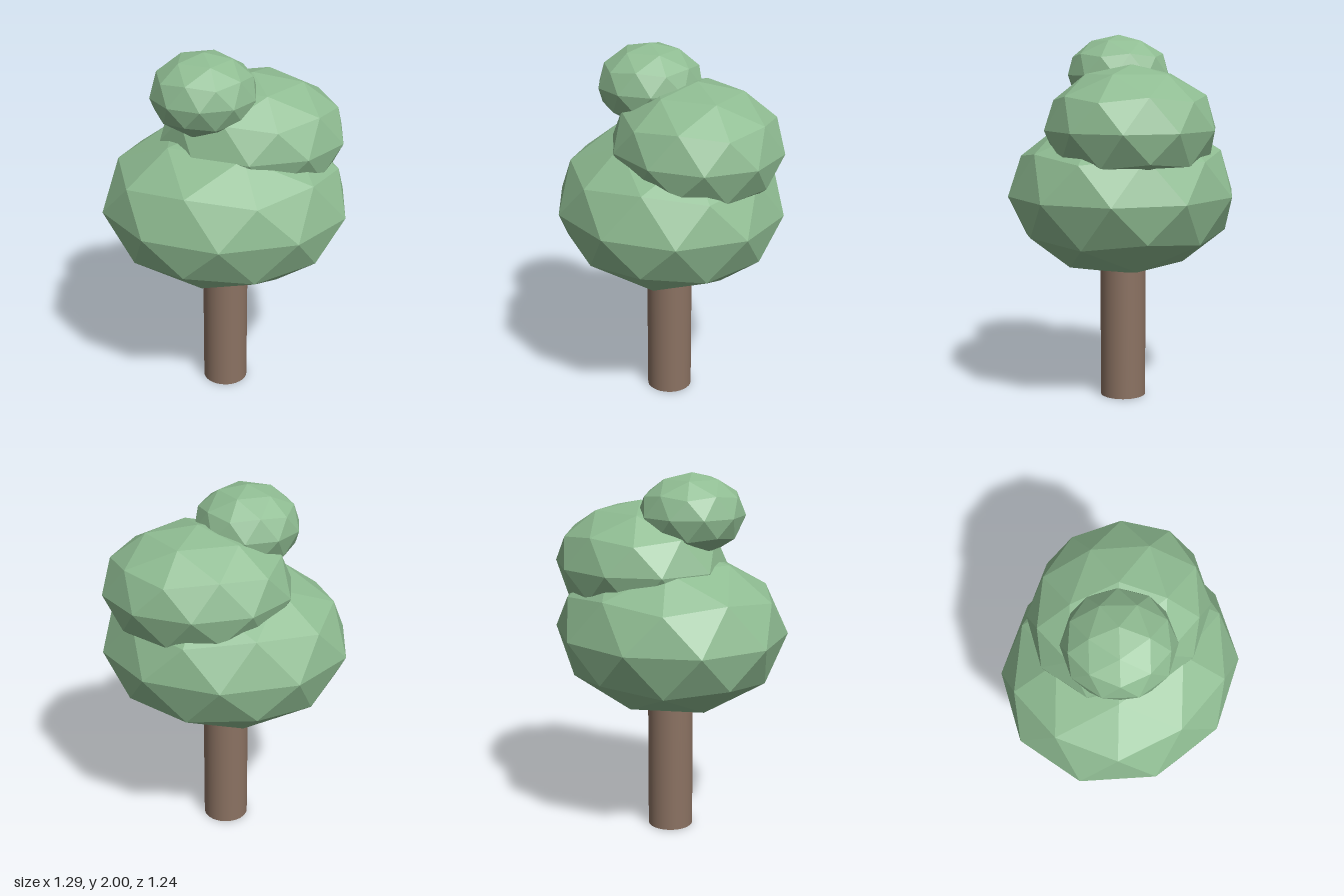
import * as THREE from 'three';

const foliageGreen = new THREE.MeshStandardMaterial({ color: 0x8fbc92, flatShading: true });
foliageGreen.name = 'foliageGreen';
const barkBrown = new THREE.MeshStandardMaterial({ color: 0x8b7262 });
barkBrown.name = 'barkBrown';

// Squashed low-poly ball with a vertex at its top and bottom
function foliage(name, [rx, ry, rz], [x, y, z]) {
  const geometry = new THREE.IcosahedronGeometry(1, 1);
  const golden = (1 + Math.sqrt(5)) / 2;
  geometry.rotateZ(-Math.atan(1 / golden));
  geometry.scale(rx, ry, rz);
  geometry.computeVertexNormals();
  const mesh = new THREE.Mesh(geometry, foliageGreen);
  mesh.name = name;
  mesh.position.set(x, y, z);
  return mesh;
}

export function createModel() {
  const tree = new THREE.Group();
  tree.name = 'tree';

  // Trunk, its top hidden inside the lower foliage
  const height = 1;
  const trunk = new THREE.Mesh(new THREE.CylinderGeometry(0.125, 0.125, height, 32), barkBrown);
  trunk.name = 'trunk';
  trunk.position.y = height / 2;
  tree.add(trunk);

  // Three overlapping clumps of leaves
  tree.add(
    foliage('lowerFoliage', [0.68, 0.45, 0.622], [0, 1.14, 0]),
    foliage('middleFoliage', [0.51, 0.34, 0.46], [0.14, 1.5, -0.105]),
    foliage('topFoliage', [0.286, 0.22, 0.288], [-0.108, 1.78, 0.068]),
  );
  return tree;
}
